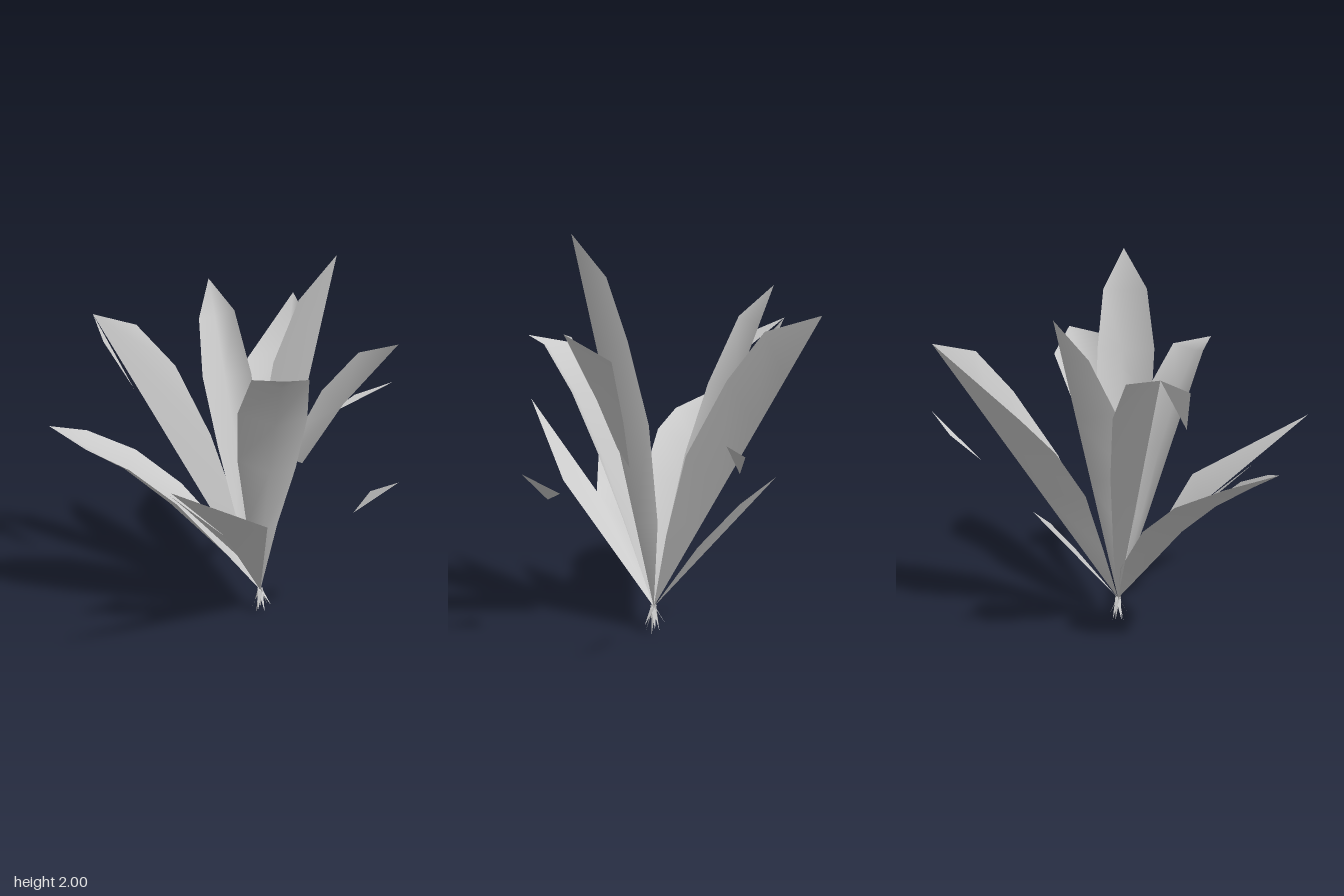
import * as THREE from 'three';

const material = new THREE.MeshStandardMaterial({ color: 0xcccccc, side: THREE.DoubleSide });
const base = [0.13, 0.14, -0.05];

function surface(name, points, index) {
  const geometry = new THREE.BufferGeometry();
  geometry.setAttribute('position', new THREE.Float32BufferAttribute(points.flat(), 3));
  geometry.setIndex(index);
  geometry.computeVertexNormals();
  const mesh = new THREE.Mesh(geometry, material);
  mesh.name = name;
  return mesh;
}

// Channelled leaf: edges rise above a keel; depth 1 puts the keel on the straight line to the tip
function leaf(name, tip, left, right, depth = 1) {
  const points = [base];
  const index = [0, 1, 2, 0, 2, 3];
  const line = new THREE.Line3(new THREE.Vector3(...base), new THREE.Vector3(...tip));
  left.forEach((l, i) => {
    const r = right[i];
    const middle = new THREE.Vector3(...l).add(new THREE.Vector3(...r)).multiplyScalar(0.5);
    const straight = line.closestPointToPoint(middle, true, new THREE.Vector3());
    points.push(l, middle.lerp(straight, depth).toArray(), r);
    const k = 1 + i * 3;
    if (i < left.length - 1) {
      for (const j of [k, k + 1]) index.push(j, j + 3, j + 4, j, j + 4, j + 1);
    } else {
      index.push(k, k + 3, k + 1, k + 1, k + 3, k + 2);
    }
  });
  points.push(tip);
  return surface(name, points, index);
}

// Torn leaf or shard: a loop of corners, fanned from the first
function patch(name, points) {
  const index = [];
  for (let i = 1; i < points.length - 1; i++) index.push(0, i, i + 1);
  return surface(name, points, index);
}

export function createModel() {
  const plant = new THREE.Group();
  plant.name = 'plant';

  // Whole leaves
  plant.add(
    leaf('backLeaf', [0.34, 1.63, -0.94],
      [[0.09, 0.48, -0.17], [0.03, 0.83, -0.31], [0.02, 1.09, -0.48], [0.05, 1.28, -0.65]],
      [[0.22, 0.55, -0.16], [0.31, 0.97, -0.3], [0.36, 1.34, -0.52], [0.385, 1.56, -0.7]]),
    leaf('backRightLeaf', [-0.15, 1.77, -0.57],
      [[0, 0.55, -0.09], [-0.1, 0.95, -0.14], [-0.18, 1.3, -0.26], [-0.2, 1.58, -0.42]],
      [[0.14, 0.55, -0.13], [0.13, 0.95, -0.22], [0.08, 1.3, -0.32], [-0.01, 1.62, -0.44]]),
    leaf('lowSideLeaf', [-0.94, 1.14, 0.08],
      [[0, 0.39, -0.12], [-0.3, 0.72, -0.19], [-0.54, 0.92, -0.18], [-0.78, 1.06, -0.09]],
      [[-0.03, 0.4, 0.09], [-0.3, 0.76, 0.2], [-0.53, 0.96, 0.23], [-0.74, 1.06, 0.21]], 0.5),
    leaf('frontLeaf', [0.2, 1.52, 0.63],
      [[0.05, 0.6, 0.08], [0, 1, 0.2], [0, 1.28, 0.32], [0.06, 1.48, 0.46]],
      [[0.21, 0.6, 0.08], [0.29, 0.95, 0.18], [0.33, 1.25, 0.3], [0.32, 1.48, 0.46]], 0.4),
    leaf('tallLeaf', [0.45, 2, 0.22],
      [[0.11, 0.6, 0.05], [0.11, 1.1, 0.15], [0.17, 1.5, 0.22], [0.28, 1.8, 0.25]],
      [[0.19, 0.6, -0.1], [0.27, 1.1, -0.09], [0.35, 1.5, -0.02], [0.41, 1.8, 0.06]]),
  );

  // Torn leaves still joined to the base
  plant.add(
    patch('tornSideLeaf', [[-0.77, 1.6, -0.44], [-0.54, 1.54, -0.45], [-0.33, 1.33, -0.38],
      [-0.14, 0.97, -0.27], [0.05, 0.45, -0.13], base]),
    patch('tornSideLeafTip', [[-0.77, 1.6, -0.44], [-0.69, 1.5, -0.22], [-0.53, 1.28, -0.11]]),
    patch('notchedFrontLeaf', [[-0.06, 0.67, 0.38], [-0.32, 0.94, 0.5], [-0.25, 0.77, 0.28],
      [0, 0.42, 0.08], base, [0.14, 0.76, 0.47], [-0.28, 1.13, 0.93]]),
    patch('smallBackLeaf', [base, [-0.02, 0.84, -0.64], [0.08, 0.71, -0.49], [0.15, 0.49, -0.3]]),
  );

  // Separate leaf end with a folded middle, fanned around its last point
  const rim = [
    [0.34, 0.9, -0.02], [0.25, 0.97, 0.09], [0.32, 1.15, 0.13], [0.41, 1.34, 0.15],
    [0.58, 1.53, 0.15], [0.785, 1.55, 0.07], [0.67, 1.43, -0.1], [0.5, 1.14, -0.07],
  ];
  const fold = rim.flatMap((_, i) => [i, (i + 1) % rim.length, rim.length]);
  plant.add(surface('leafEnd', [...rim, [0.53, 1.24, 0.05]], fold));

  // Loose shards
  plant.add(
    patch('backShard', [[0.51, 0.95, -0.64], [0.7, 1.06, -0.73], [0.925, 1.14, -0.73]]),
    patch('frontShard', [[0.57, 0.76, 0.3], [0.67, 0.82, 0.17], [0.785, 0.92, 0.3]]),
  );

  // Root spikes spreading below the crown
  const roots = new THREE.Group();
  roots.name = 'roots';
  for (let i = 0; i < 9; i++) {
    const angle = i * 2.4;
    const spread = 0.025 + 0.005 * i;
    const x = base[0] + spread * Math.cos(angle);
    const z = base[2] + spread * Math.sin(angle);
    const y = 0.007 * i;
    roots.add(patch('root', [[x, y, z],
      [base[0] - 0.016 * Math.sin(angle), 0.15, base[2] + 0.016 * Math.cos(angle)],
      [base[0] + 0.016 * Math.sin(angle), 0.15, base[2] - 0.016 * Math.cos(angle)]]));
  }
  plant.add(roots);
  return plant;
}
